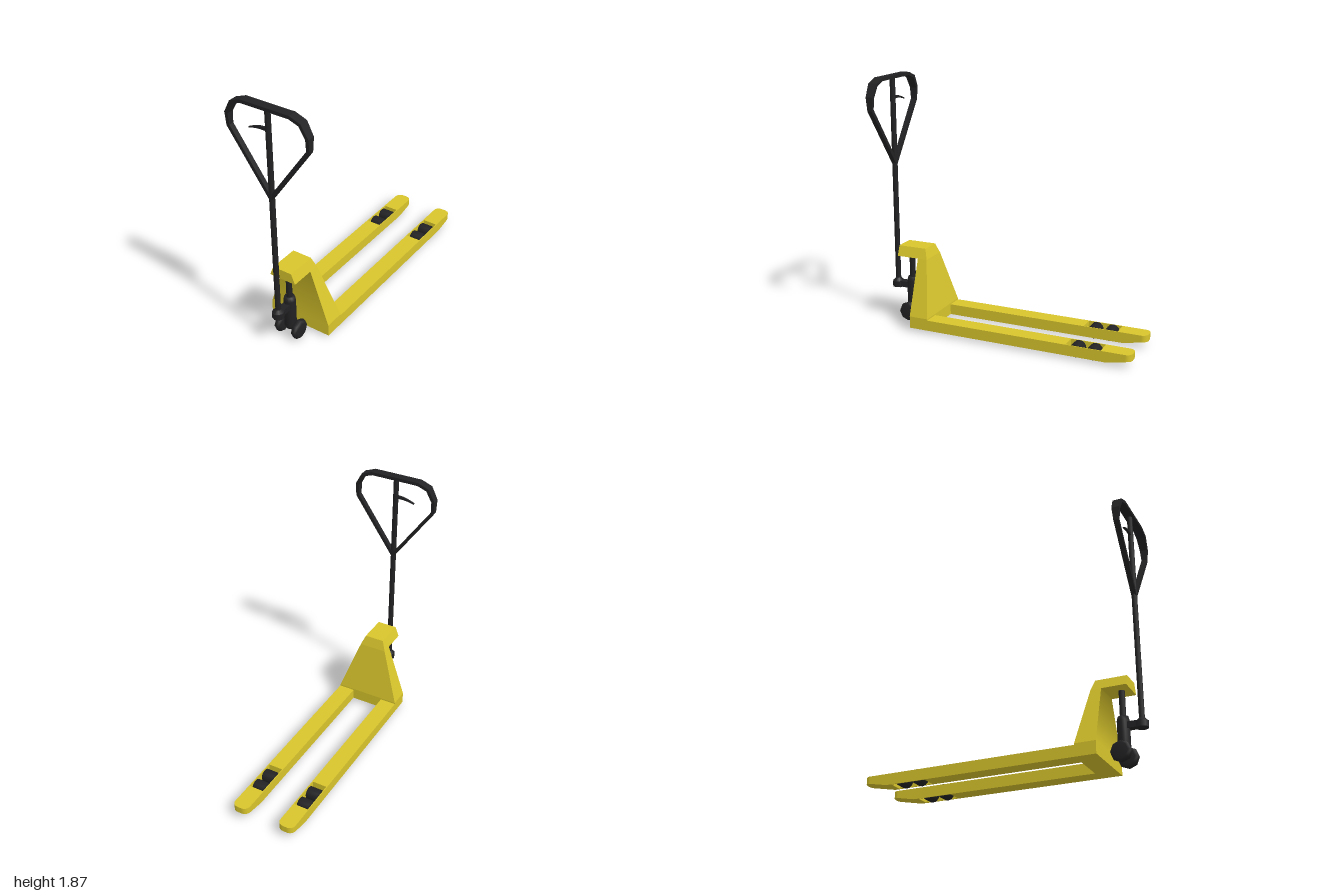
import * as THREE from 'three';

const yellow = new THREE.MeshStandardMaterial({ color: 0xd8c52c });
yellow.name = 'yellowPaint';
const black = new THREE.MeshStandardMaterial({ color: 0x222224 });
black.name = 'blackMetal';

function add(parent, name, geometry, material, x = 0, y = 0, z = 0) {
  const mesh = new THREE.Mesh(geometry, material);
  mesh.name = name;
  mesh.position.set(x, y, z);
  parent.add(mesh);
  return mesh;
}

const toShape = (points) => new THREE.Shape(points.map(([x, y]) => new THREE.Vector2(x, y)));

// Moves every vertex by a rule and refreshes the normals
function reshape(geometry, rule) {
  const p = geometry.attributes.position;
  const v = new THREE.Vector3();
  for (let i = 0; i < p.count; i++) {
    rule(v.fromBufferAttribute(p, i));
    p.setXYZ(i, v.x, v.y, v.z);
  }
  geometry.computeVertexNormals();
  return geometry;
}

// Block tapering between two levels: { y, w: half width, back, front }
function taperedBlock(lo, hi) {
  return reshape(new THREE.BoxGeometry(2, 2, 2), (v) => {
    const s = v.y > 0 ? hi : lo;
    v.set(v.x * s.w, s.y, v.z > 0 ? s.front : s.back);
  });
}

// Flat plan in x and z, raised from y0 to y1 (plan y runs toward the back)
function slab(shape, y0, y1) {
  const g = new THREE.ExtrudeGeometry(shape, { depth: y1 - y0, bevelEnabled: false, curveSegments: 5 });
  return g.rotateX(-Math.PI / 2).translate(0, y0, 0);
}

// Turned profile laid along x
function wheel(profile, sides) {
  const pts = profile.map(([r, h]) => new THREE.Vector2(r, h));
  return new THREE.LatheGeometry(pts, sides).rotateZ(-Math.PI / 2);
}

function buildBody() {
  const body = new THREE.Group();
  body.name = 'body';
  const levels = [
    { y: 0.02, w: 0.248, back: 0.572, front: 0.72 },
    { y: 0.11, w: 0.248, back: 0.572, front: 0.72 },
    { y: 0.52, w: 0.105, back: 0.645, front: 0.72 },
  ];
  add(body, 'bodyBase', taperedBlock(levels[0], levels[1]), yellow);
  const wall = taperedBlock(levels[1], levels[2]);
  // Soft shading where the front wall meets the overhang
  for (const i of [16, 17]) wall.attributes.normal.setXYZ(i, 0, -0.707, 0.707);
  add(body, 'bodyWall', wall, yellow);
  add(body, 'bodyOverhang', taperedBlock(
    { y: 0.52, w: 0.105, back: 0.645, front: 0.893 },
    { y: 0.595, w: 0.075, back: 0.67, front: 0.893 }), yellow);
  return body;
}

function buildFork(side) {
  const fork = new THREE.Group();
  fork.name = side > 0 ? 'leftFork' : 'rightFork';
  fork.position.x = side * 0.1865;
  const w = 0.0615, r = 0.045, bend = 0.82;

  // Beam with an opening for the rollers
  const beam = toShape([[-w, -0.6], [w, -0.6], [w, bend], [-w, bend]]);
  beam.holes.push(toShape([[-0.055, 0.52], [-0.055, 0.78], [0.055, 0.78], [0.055, 0.52]]));
  add(fork, 'forkBeam', slab(beam, 0.02, 0.1), yellow);

  // Rounded tip with a rising underside
  const tip = toShape([[-w, bend], [w, bend]]);
  tip.lineTo(w, 1 - r);
  tip.absarc(w - r, 1 - r, r, 0, Math.PI / 2);
  tip.absarc(-w + r, 1 - r, r, Math.PI / 2, Math.PI);
  add(fork, 'forkTip', reshape(slab(tip, 0.02, 0.1), (v) => {
    if (v.y < 0.05) v.y += Math.min(0.03, (-v.z - bend) * 0.2);
  }), yellow);

  // Tandem load rollers
  for (const z of [-0.715, -0.592]) {
    const profile = [[0, -0.05], [0.042, -0.05], [0.049, -0.043], [0.049, 0.043], [0.042, 0.05], [0, 0.05]];
    add(fork, 'loadRoller', wheel(profile, 12), black, 0, 0.059, z);
    add(fork, 'rollerAxle', new THREE.CylinderGeometry(0.012, 0.012, 0.118, 8).rotateZ(Math.PI / 2), black, 0, 0.059, z);
  }
  return fork;
}

function buildPump() {
  const pump = new THREE.Group();
  pump.name = 'pump';
  pump.position.z = 0.827;
  const profile = [[0, 0.06], [0.03, 0.06], [0.044, 0.09], [0.044, 0.305], [0.036, 0.335], [0, 0.335]];
  add(pump, 'pumpCylinder', new THREE.LatheGeometry(profile.map(([a, b]) => new THREE.Vector2(a, b)), 12), black);
  add(pump, 'pumpRod', new THREE.CylinderGeometry(0.022, 0.022, 0.2, 10), black, 0, 0.425, 0);
  add(pump, 'wheelAxle', new THREE.CylinderGeometry(0.018, 0.018, 0.15, 8).rotateZ(Math.PI / 2), black, 0, 0.075, 0);
  // Steering wheels with rounded treads
  const tread = [[0, -0.028], [0.052, -0.028], [0.07, -0.018], [0.075, 0], [0.07, 0.018], [0.052, 0.028], [0, 0.028]];
  for (const s of [-1, 1]) add(pump, 'steeringWheel', wheel(tread, 8), black, s * 0.072, 0.075, 0);
  return pump;
}

function buildHandle() {
  const handle = new THREE.Group();
  handle.name = 'handle';
  handle.position.z = 0.955;

  // Pivot and drawbar
  add(handle, 'pivotArm', new THREE.BoxGeometry(0.055, 0.045, 0.13), black, 0, 0.267, -0.065);
  add(handle, 'pivotBlock', new THREE.CylinderGeometry(0.045, 0.045, 0.045, 8), black, 0, 0.262, 0);
  add(handle, 'pivotCollar', new THREE.CylinderGeometry(0.02, 0.04, 0.025, 8), black, 0, 0.297, 0);
  add(handle, 'drawbar', new THREE.CylinderGeometry(0.02, 0.02, 1.57, 10), black, 0, 1.07, 0);

  // Grip loop, deeper toward the top
  const mirrored = (half, bottom) => [[0, bottom], ...half, ...half.map(([x, y]) => [-x, y]).reverse()];
  const loop = toShape(mirrored([[0.321, 1.645], [0.323, 1.745], [0.272, 1.838], [0.188, 1.87]], 1.19));
  loop.holes.push(toShape(mirrored([[0.297, 1.655], [0.298, 1.738], [0.256, 1.82], [0.183, 1.846]], 1.235)));
  const loopGeometry = new THREE.ExtrudeGeometry(loop, { depth: 2, bevelEnabled: false }).translate(0, 0, -1);
  add(handle, 'gripLoop', reshape(loopGeometry, (v) => {
    v.z *= 0.017 + 0.016 * THREE.MathUtils.smoothstep(v.y, 1.6, 1.84);
  }), black);

  // Release lever
  const lever = toShape([[0, 1.692], [0, 1.717], [-0.065, 1.711], [-0.11, 1.698], [-0.152, 1.682],
    [-0.15, 1.675], [-0.105, 1.688], [-0.06, 1.693]].reverse());
  add(handle, 'releaseLever', new THREE.ExtrudeGeometry(lever, { depth: 0.016, bevelEnabled: false }), black, 0, 0, -0.008);
  return handle;
}

export function createModel() {
  const model = new THREE.Group();
  model.name = 'palletTruck';
  model.add(buildBody(), buildFork(1), buildFork(-1), buildPump(), buildHandle());
  return model;
}
